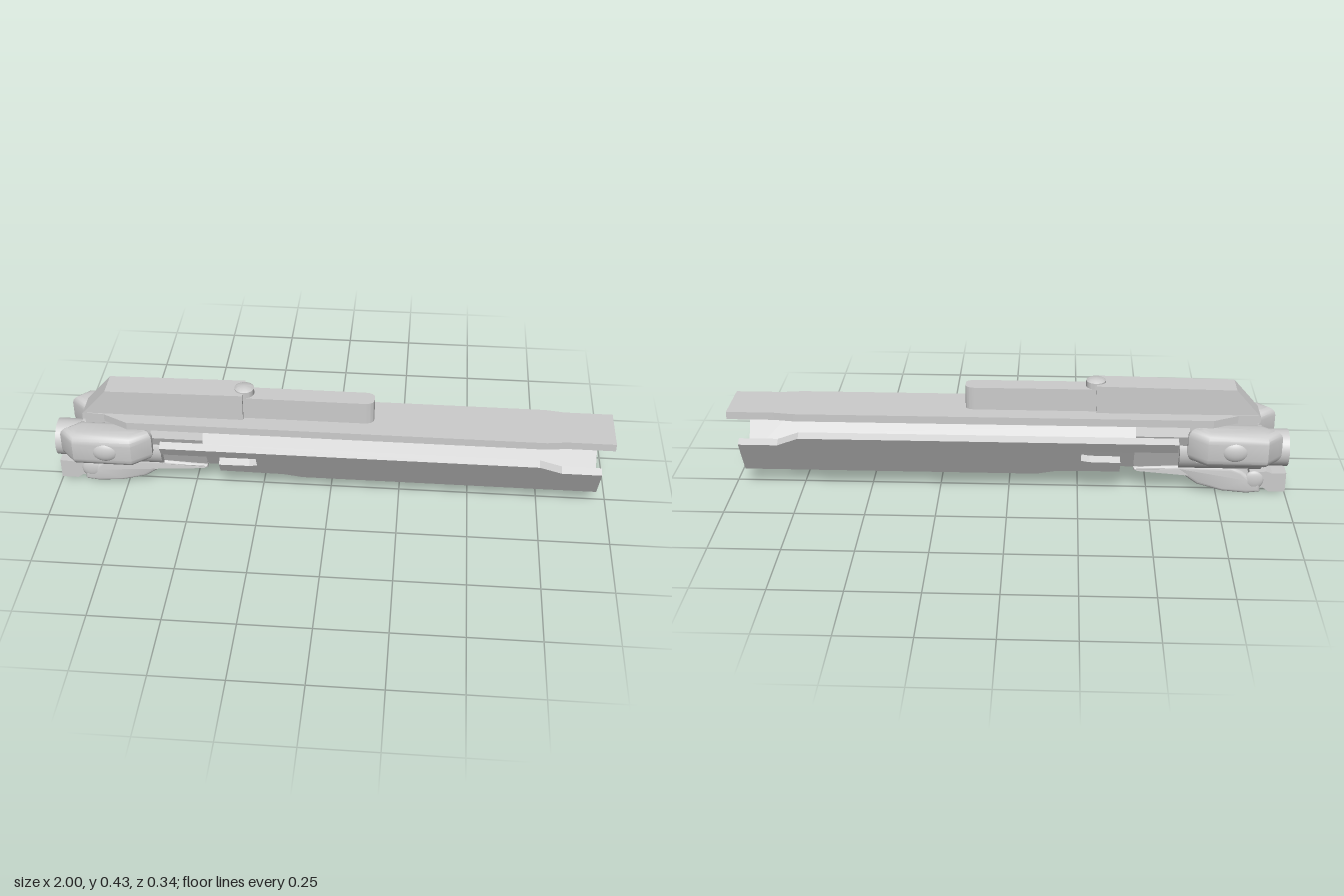
import * as THREE from 'three';
import { toCreasedNormals } from 'three/addons/utils/BufferGeometryUtils.js';

const material = new THREE.MeshStandardMaterial({ color: 0xcccccc, side: THREE.DoubleSide });
const shapeOf = (pts) => new THREE.Shape(pts.map(([a, b]) => new THREE.Vector2(a, b)));
const extrude = (pts, depth, bevel = 0) => new THREE.ExtrudeGeometry(shapeOf(pts), {
  depth, bevelEnabled: bevel > 0, bevelSize: bevel, bevelThickness: bevel, bevelOffset: -bevel, bevelSegments: 4,
});

// Adds the mirrored half of an outline given on its positive side
const mirrored = (pts) => [...pts, ...pts.map(([a, b]) => [a, -b]).reverse()];

// Plan outline (x, z) raised from y0 to y1
function plan(pts, y0, y1, bevel = 0) {
  const g = extrude(pts, y1 - y0 - 2 * bevel, bevel);
  return g.rotateX(Math.PI / 2).translate(0, y1 - bevel, 0);
}

// Side profile (x, y) with total width w across z
function profile(pts, w, bevel = 0) {
  return extrude(pts, w - 2 * bevel, bevel).translate(0, 0, -w / 2 + bevel);
}

// Symmetric cross-section, half given as (z, y), swept from x0 to x1
function section(half, x0, x1) {
  const pts = [...half, ...half.map(([z, y]) => [-z, y]).reverse()];
  return extrude(pts, x1 - x0).rotateY(Math.PI / 2).translate(x0, 0, 0);
}

// Cylinder lying along x
const tubeX = (r, x0, x1, y) =>
  new THREE.CylinderGeometry(r, r, x1 - x0, 32).rotateZ(Math.PI / 2).translate((x0 + x1) / 2, y, 0);

export function createModel() {
  const model = new THREE.Group();
  model.name = 'spaceship';
  const add = (name, geometry) => {
    const mesh = new THREE.Mesh(geometry, material);
    mesh.name = name;
    model.add(mesh);
    return mesh;
  };

  // Central hull with a narrower rear part
  add('hull', section([[0.083, 0.29], [0.108, 0.247], [0.022, 0.095]], -0.45, 0.74));
  add('rearHull', section([[0.075, 0.29], [0.088, 0.247], [0.03, 0.1]], -0.64, -0.45));

  // Long deck plate
  add('deckPlate', plan(mirrored([
    [-0.88, 0.05], [-0.81, 0.055], [-0.72, 0.1], [0.76, 0.1], [0.83, 0.09], [1, 0.09],
  ]), 0.29, 0.318));

  // Dorsal fin, its lower forward part and the knob between them
  add('dorsalFin', profile([[-0.89, 0.29], [-0.89, 0.312], [-0.8, 0.413], [-0.31, 0.42], [-0.31, 0.29]], 0.098));
  const nose = [[-0.32, 0.035]];
  for (let i = 0; i <= 8; i++) {
    const a = (Math.PI / 2) * (1 - i / 8);
    nose.push([0.12 + 0.034 * Math.cos(a), 0.012 + 0.023 * Math.sin(a)]);
  }
  add('forwardFin', toCreasedNormals(plan(mirrored(nose), 0.3, 0.402), 0.6));
  const knob = [[0, 0.3], [0.035, 0.3], [0.035, 0.424], [0.024, 0.431], [0, 0.433]];
  add('knob', toCreasedNormals(
    new THREE.LatheGeometry(knob.map(([r, y]) => new THREE.Vector2(r, y)), 24).translate(-0.308, 0, 0), 0.6));

  // Slanted armour panels, drawn as (x, distance up the slope)
  const panel = [
    [-0.6, 0.2], [-0.6, 0.15], [-0.26, 0.15], [-0.26, 0.09], [-0.29, 0.082], [-0.4, 0.08],
    [-0.4, 0.025], [-0.17, 0.02], [-0.1, 0], [0.96, 0], [0.96, 0.156], [0.82, 0.156], [0.74, 0.2],
  ];
  for (const side of [1, -1]) {
    const prefix = side > 0 ? 'left' : 'right';
    const armour = add(prefix + 'ArmourPanel', extrude(panel, 0.028));
    armour.rotation.x = side * Math.PI / 6;
    armour.position.set(0, side > 0 ? 0.084 : 0.07, side > 0 ? 0.02 : -0.044);

    // Engine pods with a shallow dome on the outer face
    const pod = [
      [-0.965, 0.1], [-0.91, 0.158], [-0.7, 0.158], [-0.635, 0.105], [-0.635, 0.085], [-0.71, 0.04], [-0.9, 0.04],
    ].map(([x, z]) => [x, side * z]);
    add(prefix + 'EnginePod', toCreasedNormals(plan(pod, 0.157, 0.287, 0.034), 0.7));
    const dome = new THREE.SphereGeometry(1, 24, 12).scale(0.05, 0.04, 0.022);
    add(prefix + 'PodDome', dome.translate(-0.795, 0.222, side * 0.146));

    // Round boss on the keel
    const boss = new THREE.SphereGeometry(1, 20, 12).scale(0.036, 0.036, 0.012);
    add(prefix + 'KeelBoss', boss.translate(-0.885, 0.055, side * 0.033));
  }

  // Main engine
  add('engineBody', tubeX(0.08, -0.905, -0.61, 0.172));
  add('exhaust', tubeX(0.067, -1, -0.9, 0.172));
  add('engineMount', new THREE.BoxGeometry(0.26, 0.09, 0.1).translate(-0.75, 0.25, 0));

  // Keel under the engine and its tail block
  add('keel', toCreasedNormals(profile([
    [-0.91, 0.008], [-0.86, 0.002], [-0.77, 0.01], [-0.68, 0.036], [-0.61, 0.086], [-0.45, 0.086],
    [-0.45, 0.098], [-0.62, 0.11], [-0.8, 0.105], [-0.84, 0.09], [-0.87, 0.065], [-0.91, 0.05],
  ], 0.084, 0.012), 0.5));
  add('tailBlock', profile([
    [-1, 0.01], [-0.94, 0.01], [-0.92, 0.025], [-0.87, 0.025], [-0.87, 0.085], [-0.93, 0.09], [-0.95, 0.082], [-1, 0.085],
  ], 0.07));

  return model;
}
